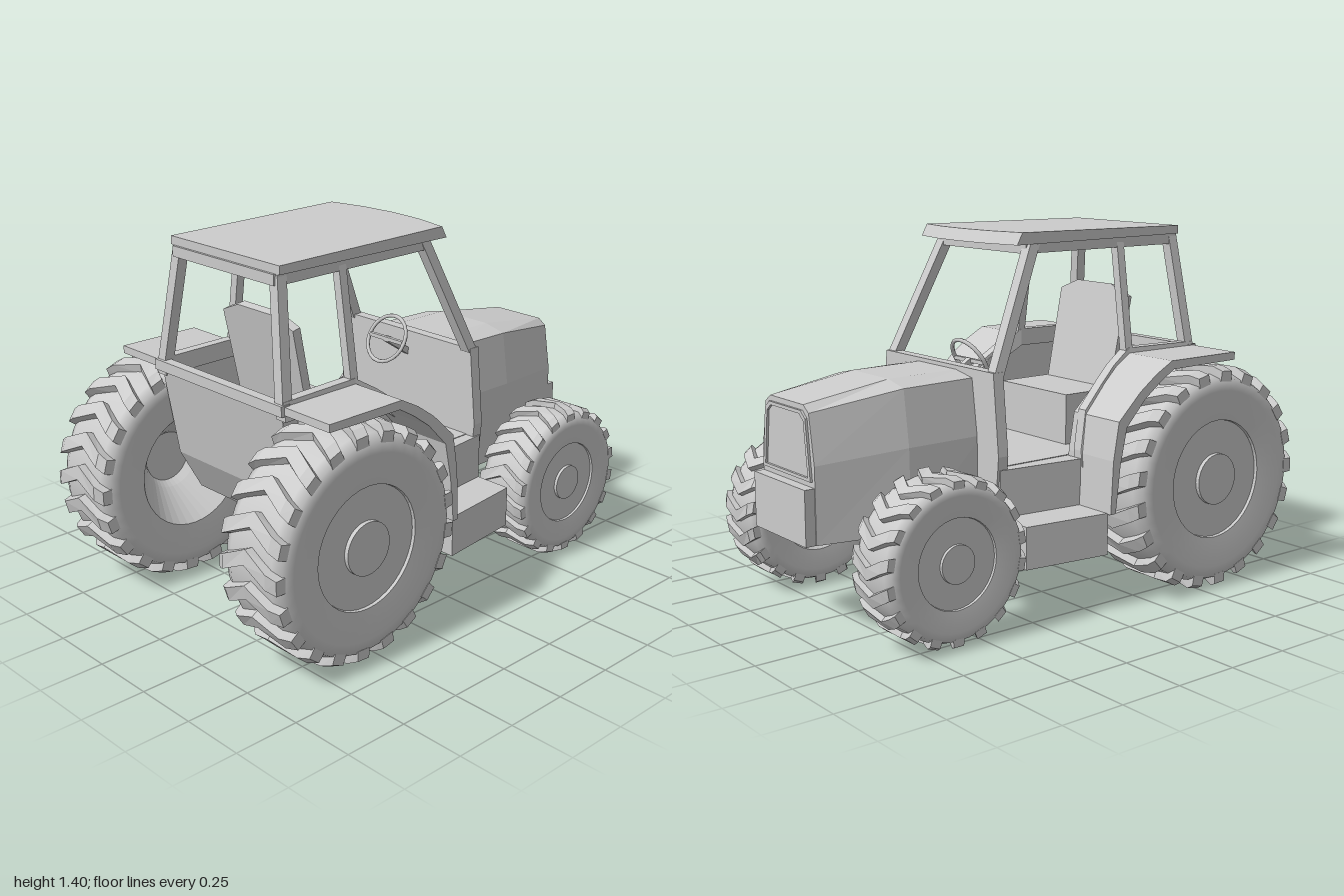
import * as THREE from 'three';

const mat = new THREE.MeshStandardMaterial({ color: 0xcccccc, flatShading: true, side: THREE.DoubleSide });
const smooth = new THREE.MeshStandardMaterial({ color: 0xcccccc, side: THREE.DoubleSide });

// Skin a list of cross-sections (arrays of [x, y, z]); optional closed rings and end caps
function loft(sections, closed = true, capStart = true, capEnd = true) {
  const pos = [];
  const tri = (...p) => p.forEach(q => pos.push(...q));
  const n = sections[0].length;
  for (let i = 0; i < sections.length - 1; i++) {
    for (let j = 0; j < (closed ? n : n - 1); j++) {
      const k = (j + 1) % n, a = sections[i], b = sections[i + 1];
      tri(a[j], a[k], b[k]);
      tri(a[j], b[k], b[j]);
    }
  }
  const first = sections[0], last = sections[sections.length - 1];
  for (let j = 1; j < n - 1; j++) {
    if (capStart) tri(first[0], first[j + 1], first[j]);
    if (capEnd) tri(last[0], last[j], last[j + 1]);
  }
  const g = new THREE.BufferGeometry();
  g.setAttribute('position', new THREE.Float32BufferAttribute(pos, 3));
  g.computeVertexNormals();
  return g;
}

function add(parent, name, geo, x = 0, y = 0, z = 0, m = mat) {
  const mesh = new THREE.Mesh(geo, m);
  mesh.name = name;
  mesh.position.set(x, y, z);
  parent.add(mesh);
  return mesh;
}

// Square bar between two points
function bar(parent, name, p, q, w = 0.04) {
  const a = new THREE.Vector3(...p), b = new THREE.Vector3(...q);
  const mesh = add(parent, name, new THREE.BoxGeometry(w, w, a.distanceTo(b)));
  mesh.position.copy(a).add(b).multiplyScalar(0.5);
  mesh.lookAt(b);
}

// Leaning post, cut level at both ends
function post(parent, name, bottom, top, w) {
  add(parent, name, loft([bottom, top].map(([x, y, z]) =>
    [[-1, -1], [-1, 1], [1, 1], [1, -1]].map(([i, k]) => [x + i * w / 2, y, z + k * w / 2]))));
}

const polygon = pts => new THREE.Shape(pts.map(p => new THREE.Vector2(...p)));
const extrude = (pts, depth) => new THREE.ExtrudeGeometry(polygon(pts), { depth, bevelEnabled: false });

// Wheel on the z axis, outer face towards +z
function wheel(name, R, W, rim, hub, lugs) {
  const g = new THREE.Group();
  g.name = name;
  const h = W / 2, r = R * 0.93;
  const spin = pts => new THREE.LatheGeometry(pts.map(p => new THREE.Vector2(...p)), 40).rotateX(Math.PI / 2);
  add(g, 'tyre', spin([[rim, -h * 0.93], [r * 0.85, -h], [r * 0.96, -h * 0.95], [r, -h * 0.7],
    [r, h * 0.7], [r * 0.96, h * 0.95], [r * 0.85, h], [rim, h * 0.93]]), 0, 0, 0, smooth);
  add(g, 'rim', spin([[rim, h * 0.93], [rim * 0.99, h * 0.85], [hub, h * 0.85]]));
  add(g, 'hub', spin([[hub, h * 0.85], [hub, h * 0.96], [0, h * 0.96]]));
  add(g, 'innerDish', spin([[0, h * 0.2], [hub, h * 0.2], [hub * 1.2, 0], [rim, -h * 0.93]]));
  // Chevron tread bars
  const half = Math.PI / lugs * 0.5;
  for (let i = 0; i < lugs; i++) {
    const a0 = i / lugs * Math.PI * 2;
    const sections = [-1, -0.75, 0, 0.75, 1].map(t => {
      const end = Math.abs(t) === 1, a = a0 + Math.abs(t) * half * 2.1;
      const top = end ? R * 0.96 : R, low = end ? R * 0.87 : r * 0.98;
      return [[a - half, low], [a + half, low], [a + half * 0.85, top], [a - half * 0.85, top]]
        .map(([b, q]) => [Math.cos(b) * q, Math.sin(b) * q, t * h * 0.98]);
    });
    add(g, 'treadBar', loft(sections));
  }
  return g;
}

export function createModel() {
  const model = new THREE.Group();
  model.name = 'tractor';

  // Wheels
  for (const s of [1, -1]) {
    const rear = wheel('rearWheel', 0.44, 0.3, 0.232, 0.1, 21);
    rear.position.set(-0.557, 0.437, s * 0.492);
    const front = wheel('frontWheel', 0.307, 0.222, 0.165, 0.07, 18);
    front.position.set(0.63, 0.308, s * 0.458);
    for (const w of [rear, front]) {
      w.scale.z = s;
      model.add(w);
    }
  }

  // Bonnet, open underneath
  const hoodSection = (x, y0, w0, w1, w2, y2, w3, y3) => {
    const side = [[w0, y0], [w1, (y0 + y2) / 2 + 0.05], [w2, y2], [w3, y3]];
    return [...side, ...side.slice().reverse().map(([z, y]) => [-z, y])].map(([z, y]) => [x, y, z]);
  };
  add(model, 'bonnet', loft([
    hoodSection(0.29, 0.345, 0.252, 0.248, 0.218, 0.872, 0.12, 0.89),
    hoodSection(0.61, 0.345, 0.252, 0.245, 0.215, 0.865, 0.12, 0.887),
    hoodSection(0.96, 0.345, 0.182, 0.18, 0.15, 0.81, 0.115, 0.835)], false, false, true));
  add(model, 'noseBlock', new THREE.BoxGeometry(0.05, 0.205, 0.355), 0.975, 0.447, 0);
  const grille = s => [[-0.165 * s, -0.12 * s], [0.165 * s, -0.12 * s], [0.14 * s, 0.1 * s],
    [0.11 * s, 0.125 * s], [-0.11 * s, 0.125 * s], [-0.14 * s, 0.1 * s]];
  const frame = polygon(grille(1));
  frame.holes.push(new THREE.Path(grille(0.9).map(p => new THREE.Vector2(...p))));
  add(model, 'grilleFrame', new THREE.ExtrudeGeometry(frame, { depth: 0.012, bevelEnabled: false })
    .rotateY(Math.PI / 2), 0.957, 0.69, 0);

  // Cab front wall and floor
  add(model, 'frontWall', extrude([[-0.34, 0.207], [0, 0.222], [0.34, 0.207], [0.375, 0.6], [0.345, 0.905],
    [-0.345, 0.905], [-0.375, 0.6]], 0.045).rotateY(Math.PI / 2), 0.265, 0, 0);
  add(model, 'cabFloor', new THREE.BoxGeometry(0.9, 0.015, 0.67), -0.17, 0.545, 0);

  // Back panel, tucked forward at the bottom
  add(model, 'backPanel', loft([[-0.69, 0.9], [-0.625, 0.53], [-0.53, 0.36]].map(([x, y]) =>
    [[x, y, 0.338], [x, y, -0.338]]), false, false, false));

  // Seat
  add(model, 'seatBase', new THREE.BoxGeometry(0.28, 0.2, 0.4), -0.3, 0.65, 0);
  const back = add(model, 'seatBack', extrude([[-0.19, 0], [0.19, 0], [0.195, 0.4], [0.1, 0.44], [-0.1, 0.44], [-0.195, 0.4]], 0.035)
    .rotateY(Math.PI / 2), -0.425, 0.715, 0);
  back.rotation.z = 0.2;

  // Steering wheel and column
  const steering = add(model, 'steeringWheel', new THREE.TorusGeometry(0.095, 0.008, 6, 24), 0.155, 0.893, 0, smooth);
  steering.lookAt(0.155 - 0.87, 0.893 + 0.5, 0);
  bar(model, 'steeringColumn', [0.155, 0.893, 0], [0.28, 0.81, 0], 0.025);
  bar(model, 'steeringSpoke', [0.155, 0.893, -0.09], [0.155, 0.893, 0.09], 0.015);

  // Roof with a visor that slopes forward, wider in the middle
  const roofSection = (z, x) => [[-0.65, 1.358, z], [-0.65, 1.39, z], [x - 0.025, 1.397, z], [x, 1.352, z], [x - 0.06, 1.358, z]];
  add(model, 'roof', loft([[-0.3, 0.165], [-0.15, 0.197], [0, 0.207], [0.15, 0.197], [0.3, 0.165]].map(p => roofSection(...p))));
  bar(model, 'roofRailRear', [-0.64, 1.338, -0.28], [-0.64, 1.338, 0.28]);
  bar(model, 'roofRailFront', [0.08, 1.335, -0.27], [0.08, 1.335, 0.27]);
  bar(model, 'rearSill', [-0.685, 0.9, -0.36], [-0.685, 0.9, 0.36]);

  // Fender outline, from the back over the wheel and down to the step
  const arch = [[-0.69, 0.915], [-0.35, 0.915], [-0.27, 0.872], [-0.19, 0.815], [-0.085, 0.715], [-0.06, 0.57], [-0.05, 0.37]];
  const under = [[-0.69, 0.885], [-0.36, 0.882], [-0.29, 0.84], [-0.215, 0.785], [-0.125, 0.69], [-0.095, 0.55], [-0.075, 0.37]];

  for (const s of [1, -1]) {
    add(model, 'fender', loft(arch.map((p, i) =>
      [[...p, s * 0.335], [...p, s * 0.585], [...under[i], s * 0.585], [...under[i], s * 0.335]])));
    // Wall between cab and wheel
    add(model, 'cabSideWall', new THREE.ShapeGeometry(polygon([...arch.slice(0, 6), [-0.625, 0.53]])), 0, 0, s * 0.336);
    // Door threshold and step box
    const plan = (a, b) => [[-0.055, s * 0.335], [0.3, s * 0.335], [0.3, s * b], [-0.055, s * a]];
    add(model, 'doorThreshold', extrude(plan(0.41, 0.375), 0.18).rotateX(Math.PI / 2), 0, 0.55, 0);
    add(model, 'sideStep', extrude(plan(0.565, 0.525), 0.16).rotateX(Math.PI / 2), 0, 0.372, 0);
    // Raised sill that follows the fender and flares at the door
    const sill = [[-0.69, 0.9, 0.355], [-0.35, 0.905, 0.35], [-0.26, 0.85, 0.365], [-0.18, 0.79, 0.385], [-0.085, 0.7, 0.4], [-0.055, 0.55, 0.41]];
    add(model, 'windowSill', loft(sill.map(([x, y, z]) =>
      [[x, y + 0.03, s * (z - 0.04)], [x, y + 0.03, s * z], [x, y - 0.04, s * (z + 0.01)], [x, y - 0.04, s * (z - 0.04)]])));
    // Roof posts
    post(model, 'rearPillar', [-0.675, 0.89, s * 0.338], [-0.63, 1.355, s * 0.268], 0.042);
    post(model, 'middlePillar', [-0.352, 0.9, s * 0.335], [-0.352, 1.355, s * 0.268], 0.035);
    post(model, 'frontPillar', [0.283, 0.89, s * 0.322], [0.07, 1.35, s * 0.264], 0.045);
    bar(model, 'roofRailSide', [-0.65, 1.338, s * 0.27], [0.09, 1.338, s * 0.265]);
  }
  return model;
}
